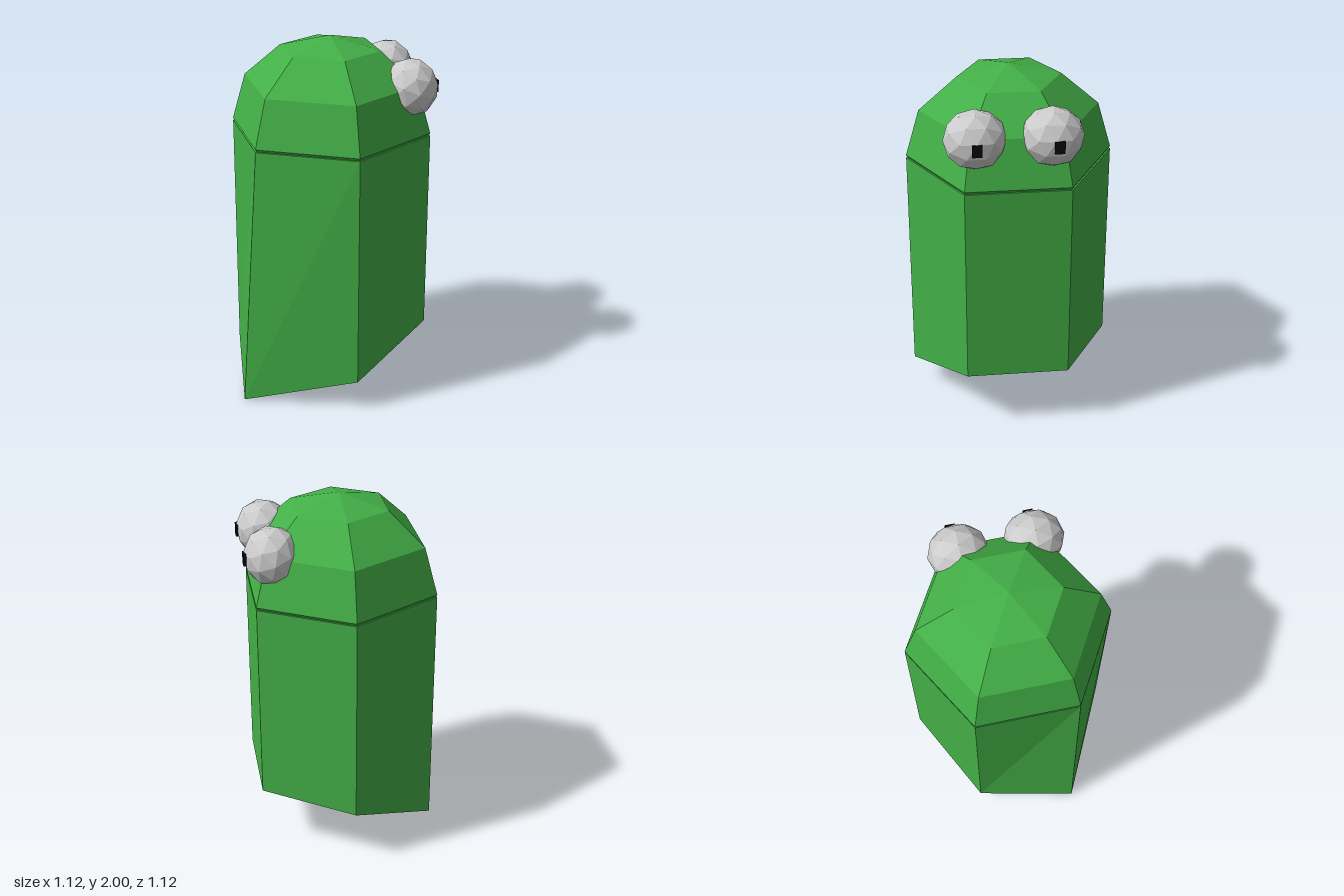
import * as THREE from 'three';

const CX = 0.02; // body axis is slightly off centre

function flat(color) {
  return new THREE.MeshStandardMaterial({ color, flatShading: true });
}

// Closed shell through rings of equal point count, listed from bottom to top
function loft(rings) {
  const n = rings[0].length;
  const pos = [];
  const tri = (...pts) => pts.forEach((p) => pos.push(...p));
  for (let j = 0; j < rings.length - 1; j++) {
    for (let i = 0; i < n; i++) {
      const k = (i + 1) % n;
      const a = rings[j][i], b = rings[j][k], c = rings[j + 1][i], d = rings[j + 1][k];
      tri(a, c, b);
      tri(b, c, d);
    }
  }
  const low = rings[0], top = rings[rings.length - 1];
  for (let i = 1; i < n - 1; i++) {
    tri(low[0], low[i], low[i + 1]);
    tri(top[0], top[i + 1], top[i]);
  }
  const g = new THREE.BufferGeometry();
  g.setAttribute('position', new THREE.Float32BufferAttribute(pos, 3));
  g.computeVertexNormals();
  return g;
}

function hexagon(radius, heights) {
  return heights.map((y, i) => {
    const a = Math.PI / 6 + (i * Math.PI) / 3;
    return [CX + radius * Math.cos(a), y, radius * Math.sin(a)];
  });
}

export function createModel() {
  const model = new THREE.Group();
  const green = flat(0x43b047);
  const add = (name, geometry, material, parent = model) => {
    const mesh = new THREE.Mesh(geometry, material);
    mesh.name = name;
    parent.add(mesh);
    return mesh;
  };

  // Six-sided body, cut off at a slant with one corner pulled outwards
  const bottom = hexagon(0.56, [0.35, 0.175, 0, 0.1, 0.315, 0.35]);
  bottom[2][0] = -0.56;
  add('body', loft([bottom, hexagon(0.56, Array(6).fill(1.475))]), green);

  // Faceted dome with a thin undercut where it meets the body
  const profile = [[0.55, 1.475], [0.56, 1.49], [0.485, 1.75], [0.28, 1.93], [0, 2]];
  const dome = new THREE.LatheGeometry(profile.map(([r, y]) => new THREE.Vector2(r, y)), 6);
  add('headDome', dome, green).position.x = CX;

  // Bulging eyes with small square pupils
  const grey = flat(0xcccccc);
  const black = flat(0x0a0a0a);
  for (const [side, z] of [['front', 0.215], ['back', -0.185]]) {
    const eye = new THREE.Group();
    eye.name = side + 'Eye';
    eye.position.set(0.405, 1.74, z);
    const ball = new THREE.IcosahedronGeometry(0.165, 1);
    ball.rotateZ(0.2);
    ball.scale(0.92, 0.96, 1);
    add('eyeball', ball, grey, eye);
    const pupil = add('pupil', new THREE.BoxGeometry(0.04, 0.065, 0.053), black, eye);
    pupil.position.set(0.134, 0, side === 'front' ? 0 : -0.017);
    model.add(eye);
  }
  return model;
}
